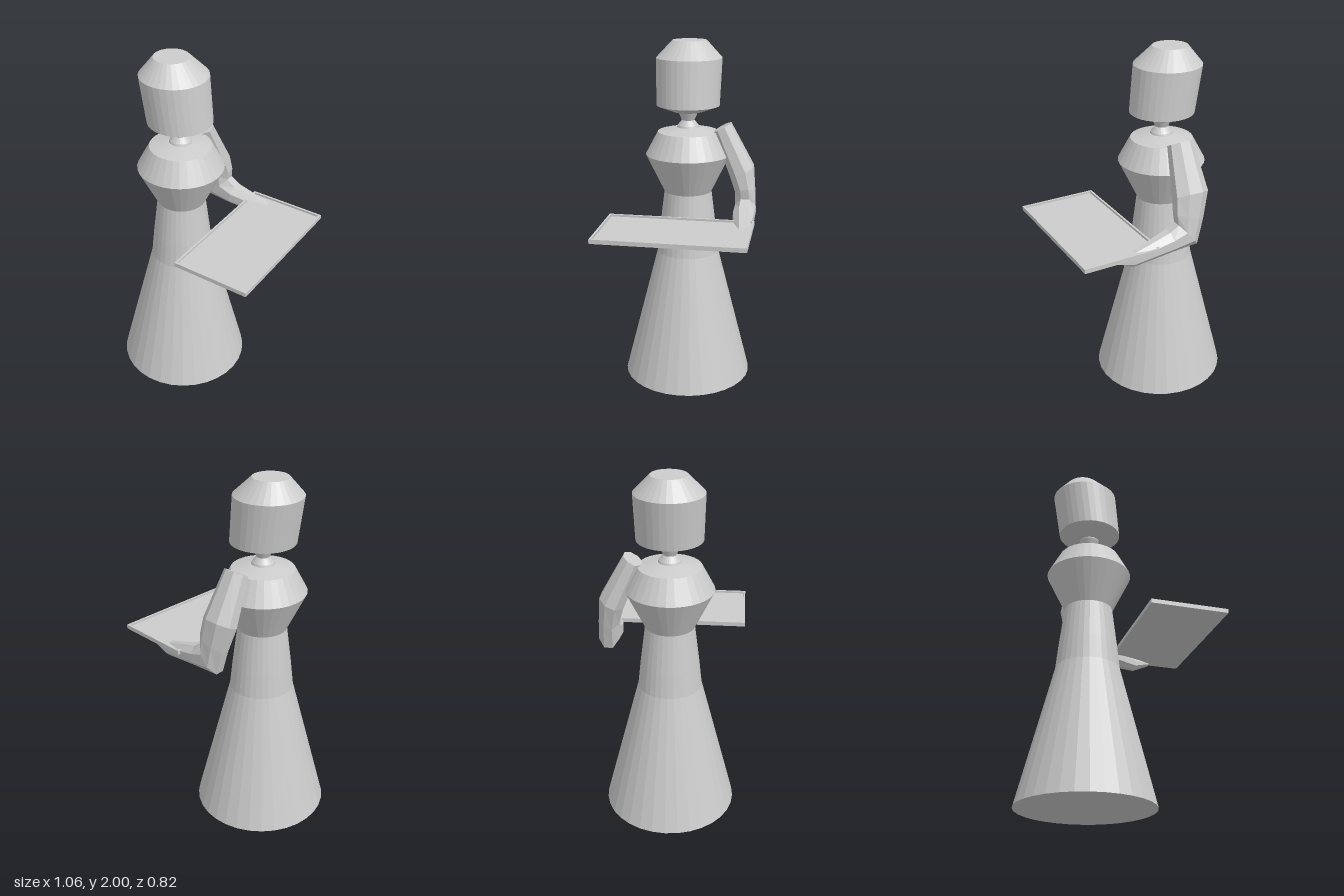
import * as THREE from 'three';

const SIDES = 32;
const BODY_X = -0.155;
const material = new THREE.MeshStandardMaterial({ color: 0xcccccc, flatShading: true });

function addPart(group, name, geometry, x = 0, y = 0, z = 0) {
  const mesh = new THREE.Mesh(geometry, material);
  mesh.name = name;
  mesh.position.set(x, y, z);
  group.add(mesh);
  return mesh;
}

// Closed turned shape from [radius, height] pairs, listed bottom to top
function turned(profile) {
  const points = profile.map(([r, y]) => new THREE.Vector2(r, y));
  points.unshift(new THREE.Vector2(0, points[0].y));
  points.push(new THREE.Vector2(0, points[points.length - 1].y));
  return new THREE.LatheGeometry(points, SIDES);
}

// Eight-sided limb through sections given as centre and two half-axes
function limb(sections) {
  const n = 8;
  const positions = [];
  const index = [];
  for (const [c, u, v] of sections) {
    for (let j = 0; j < n; j++) {
      const a = ((j + 0.5) / n) * Math.PI * 2;
      const cu = Math.cos(a) / Math.cos(Math.PI / n);
      const sv = Math.sin(a) / Math.cos(Math.PI / n);
      for (let k = 0; k < 3; k++) positions.push(c[k] + u[k] * cu + v[k] * sv);
    }
  }
  const last = (sections.length - 1) * n;
  for (let i = 0; i < last; i += n) {
    for (let j = 0; j < n; j++) {
      const k = (j + 1) % n;
      index.push(i + j, i + n + k, i + k, i + j, i + n + j, i + n + k);
    }
  }
  for (let j = 1; j < n - 1; j++) {
    index.push(0, j, j + 1, last, last + j + 1, last + j);
  }
  const geometry = new THREE.BufferGeometry();
  geometry.setAttribute('position', new THREE.Float32BufferAttribute(positions, 3));
  geometry.setIndex(index);
  geometry.computeVertexNormals();
  return geometry;
}

export function createModel() {
  const model = new THREE.Group();
  model.name = 'servingFigure';

  // Skirt, waist, chest and neck
  addPart(model, 'skirt', turned([[0.378, 0], [0.18, 0.78]]), BODY_X);
  addPart(model, 'waist', turned([[0.18, 0.78], [0.165, 0.92], [0.137, 1.145]]), BODY_X);
  addPart(model, 'chest', turned([[0.137, 1.145], [0.243, 1.365], [0.173, 1.495], [0.07, 1.52]]), BODY_X);
  addPart(model, 'neck', turned([[0.065, 1.515], [0.06, 1.53], [0.036, 1.56], [0.056, 1.605], [0.056, 1.615]]), BODY_X);

  // Head, leaning slightly sideways towards the top
  const head = turned([[0.085, 1.61], [0.179, 1.645], [0.187, 1.905], [0.097, 2]]);
  const p = head.attributes.position;
  for (let i = 0; i < p.count; i++) p.setX(i, p.getX(i) - 0.13 * (p.getY(i) - 1.645));
  addPart(model, 'head', head, BODY_X);

  // Single arm: shoulder, upper arm, elbow, forearm, hand
  addPart(model, 'arm', limb([
    [[-0.152, 1.525, -0.197], [0.068, 0, 0], [0, 0.025, -0.047]],
    [[-0.148, 1.275, -0.315], [0.097, 0, 0], [0, 0.03, -0.064]],
    [[-0.125, 1.16, -0.338], [0.082, 0.03, 0], [0, 0.01, -0.055]],
    [[-0.11, 1.065, -0.343], [0.06, 0.07, 0], [0, 0, -0.058]],
    [[-0.01, 1.043, -0.34], [0.01, 0.06, 0], [0, 0, -0.06]],
    [[0.235, 0.997, -0.355], [0.01, 0.036, 0], [0, 0, -0.03]],
    [[0.32, 1.008, -0.355], [0, 0.007, 0], [0, 0, -0.02]],
  ]));

  // Tray with a thin raised rim
  const tray = new THREE.Group();
  tray.name = 'tray';
  tray.position.set(0.308, 1.03, 0);
  const w = 0.444, d = 0.822, rim = 0.012, h = 0.024;
  addPart(tray, 'trayFloor', new THREE.BoxGeometry(w - 2 * rim, 0.012, d - 2 * rim), 0, 0.006, 0);
  for (const s of [-1, 1]) {
    addPart(tray, 'trayLongRim', new THREE.BoxGeometry(rim, h, d), s * (w - rim) / 2, h / 2, 0);
    addPart(tray, 'trayShortRim', new THREE.BoxGeometry(w - 2 * rim, h, rim), 0, h / 2, s * (d - rim) / 2);
  }
  model.add(tray);

  return model;
}
